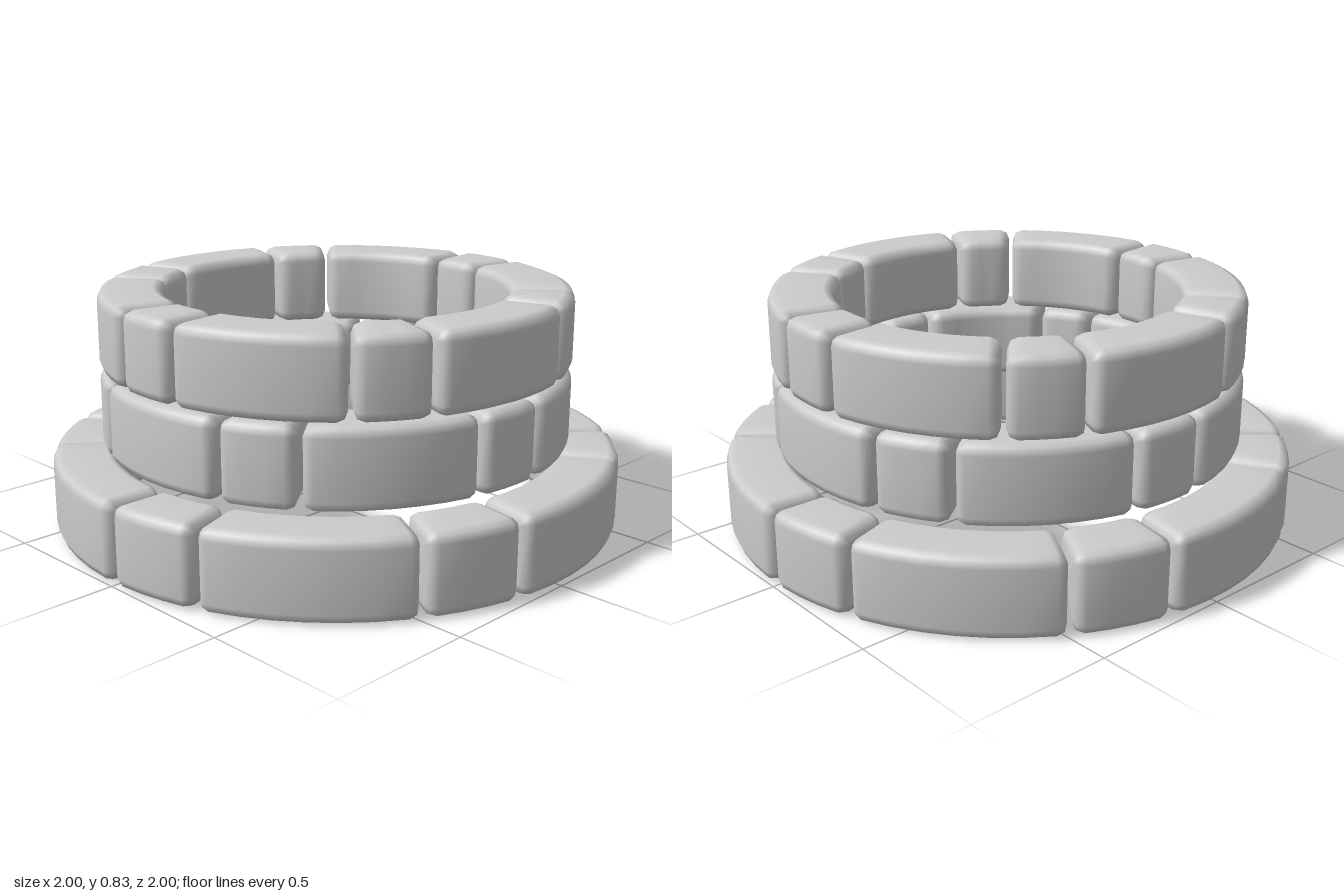
import * as THREE from 'three';

const BEVEL = 0.036, HALF_GAP = 0.008, CORNER = 2;

// Rounded rectangle in (radius, height), counter-clockwise
function section(r0, r1, y0, y1, shrink) {
  const c = Math.max(BEVEL - shrink, 0.006);
  const inset = shrink + c;
  const corners = [
    [r1 - inset, y1 - inset], [r0 + inset, y1 - inset],
    [r0 + inset, y0 + inset], [r1 - inset, y0 + inset],
  ];
  const pts = [];
  corners.forEach(([r, y], k) => {
    for (let s = 0; s <= CORNER; s++) {
      const a = (k + s / CORNER) * Math.PI / 2;
      pts.push([r + c * Math.cos(a), y + c * Math.sin(a)]);
    }
  });
  return pts;
}

// One curved stone: sections swept around the y axis, rounded at both ends
function stoneGeometry(r0, r1, y0, y1, a0, a1, segments) {
  const stations = [];
  const ends = [0, 1, 2].map((s) => {
    const a = s / 2 * Math.PI / 2;
    return { off: BEVEL * (1 - Math.sin(a)), shrink: BEVEL * (1 - Math.cos(a)) };
  }); // from body (index 0) to cap (index 2)
  for (let s = 2; s > 0; s--) stations.push({ t: 0, ...ends[s] });
  for (let i = 0; i <= segments; i++) stations.push({ t: i / segments, off: BEVEL, shrink: 0 });
  for (let s = 1; s <= 2; s++) stations.push({ t: 1, ...ends[s] });

  const pos = [], index = [];
  const add = (r, y, st) => {
    const start = a0 + (HALF_GAP + st.off) / r;
    const end = a1 - (HALF_GAP + st.off) / r;
    const a = start + (end - start) * st.t;
    pos.push(r * Math.cos(a), y, r * Math.sin(a));
  };
  stations.forEach((st) => section(r0, r1, y0, y1, st.shrink).forEach(([r, y]) => add(r, y, st)));

  const n = 4 * (CORNER + 1), last = (stations.length - 1) * n;
  for (let i = 0; i < stations.length - 1; i++) {
    for (let j = 0; j < n; j++) {
      const k = (j + 1) % n;
      const a = i * n + j, b = i * n + k;
      index.push(a, b, a + n, b, b + n, a + n);
    }
  }
  // flat end caps
  const c0 = pos.length / 3, c1 = c0 + 1;
  add((r0 + r1) / 2, (y0 + y1) / 2, stations[0]);
  add((r0 + r1) / 2, (y0 + y1) / 2, stations[stations.length - 1]);
  for (let j = 0; j < n; j++) {
    const k = (j + 1) % n;
    index.push(c0, k, j, c1, last + j, last + k);
  }
  const g = new THREE.BufferGeometry();
  g.setAttribute('position', new THREE.Float32BufferAttribute(pos, 3));
  g.setIndex(index);
  g.computeVertexNormals();
  return g;
}

export function createModel() {
  const model = new THREE.Group();
  model.name = 'stoneRing';
  const material = new THREE.MeshStandardMaterial({ color: 0xcccccc });

  // Courses of six short and six long stones; angles in degrees from +x towards +z
  const courses = [
    { name: 'bottomCourse', r0: 0.78, r1: 1.0, y0: 0, y1: 0.275, from: 10.4, to: 30 },
    { name: 'middleCourse', r0: 0.6, r1: 0.825, y0: 0.282, y1: 0.557, from: 53, to: 71.8 },
    { name: 'topCourse', r0: 0.6, r1: 0.825, y0: 0.562, y1: 0.835, from: 23.5, to: 42 },
  ];
  for (const c of courses) {
    const course = new THREE.Group();
    course.name = c.name;
    const rad = THREE.MathUtils.degToRad;
    const short = stoneGeometry(c.r0, c.r1, c.y0, c.y1, rad(c.from), rad(c.to), 3);
    const long = stoneGeometry(c.r0, c.r1, c.y0, c.y1, rad(c.to), rad(c.from + 60), 6);
    for (let i = 0; i < 6; i++) {
      for (const [name, geometry] of [['shortStone', short], ['longStone', long]]) {
        const stone = new THREE.Mesh(geometry, material);
        stone.name = name;
        stone.rotation.y = i * Math.PI / 3;
        course.add(stone);
      }
    }
    model.add(course);
  }
  return model;
}
